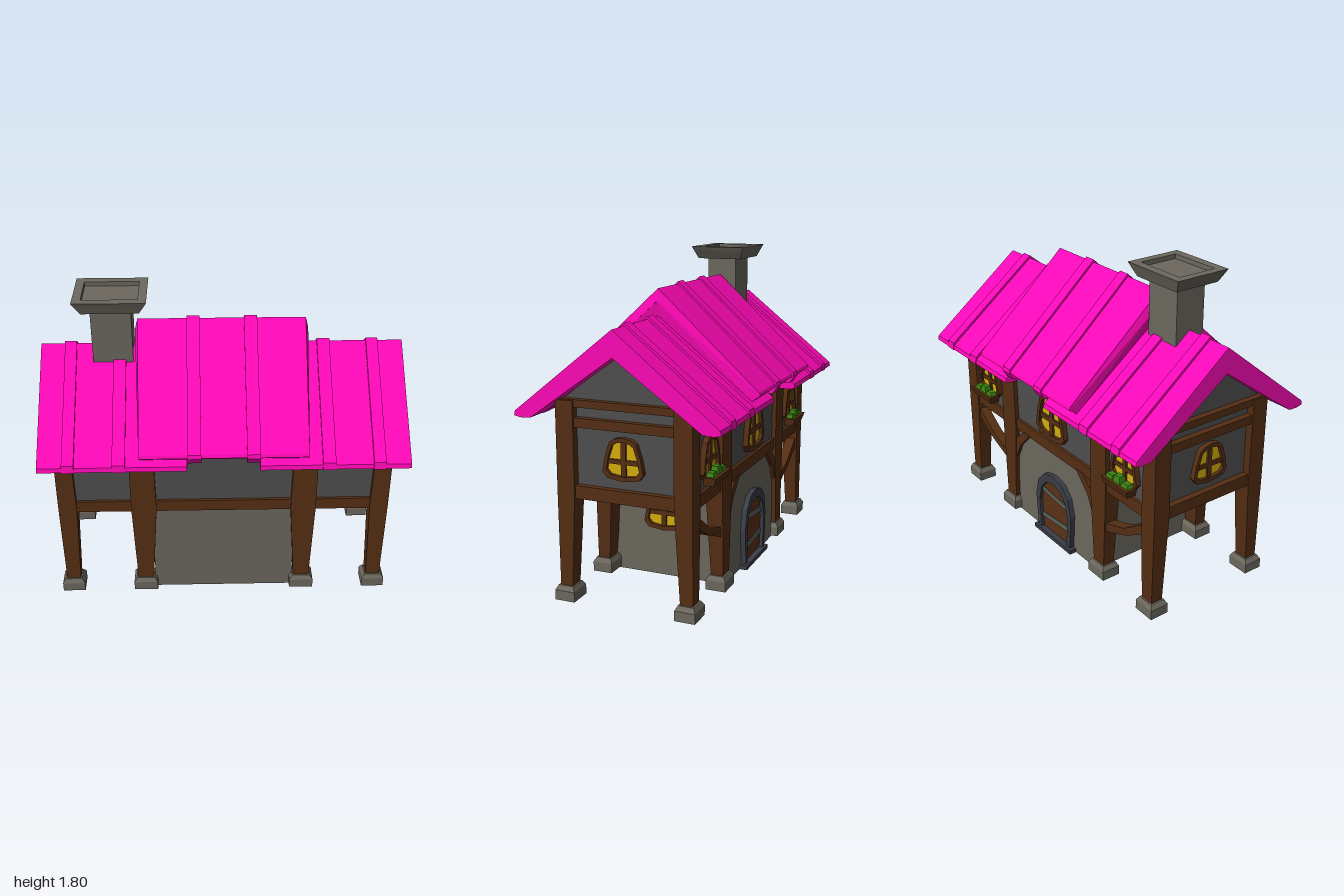
import * as THREE from 'three';

const mat = (color, side = THREE.FrontSide) => new THREE.MeshStandardMaterial({ color, flatShading: true, side });
const M = {
  wood: mat(0x552e13), wall: mat(0x4f4f4f), stone: mat(0x6c685e), hollowStone: mat(0x6c685e, THREE.DoubleSide),
  roof: mat(0xff08b6), glass: mat(0xd4ae0c), leaf: mat(0x3a8212), iron: mat(0x3b3d47), band: mat(0x5c655c), door: mat(0x5a3117),
};

function add(parent, name, geometry, material) {
  const mesh = new THREE.Mesh(geometry, material);
  mesh.name = name;
  parent.add(mesh);
  return mesh;
}

// Block between a bottom and a top rectangle, each [x0, x1, z0, z1]
function block(parent, name, material, y0, y1, bottom, top = bottom) {
  const g = new THREE.BoxGeometry(1, 1, 1);
  const p = g.attributes.position;
  for (let i = 0; i < p.count; i++) {
    const r = p.getY(i) < 0 ? bottom : top;
    const xs = [Math.min(r[0], r[1]), Math.max(r[0], r[1])];
    const zs = [Math.min(r[2], r[3]), Math.max(r[2], r[3])];
    p.setXYZ(i, xs[p.getX(i) < 0 ? 0 : 1], p.getY(i) < 0 ? y0 : y1, zs[p.getZ(i) < 0 ? 0 : 1]);
  }
  g.computeVertexNormals();
  return add(parent, name, g, material);
}

// Stone block with only its four walls
function hollowBlock(parent, name, y0, y1, bottom, top = bottom) {
  const g = block(parent, name, M.hollowStone, y0, y1, bottom, top).geometry;
  g.setIndex(Array.from(g.index.array).filter((_, i) => i < 12 || i >= 24));
  g.clearGroups();
}

const shapeOf = (pts) => new THREE.Shape(pts.map(([x, y]) => new THREE.Vector2(x, y)));
const extrude = (shape, depth) => new THREE.ExtrudeGeometry(shape, { depth, bevelEnabled: false });

// Extrudes a (z, y) section along x from x0 to x1
function alongX(pts, x0, x1) {
  return extrude(shapeOf(pts), x1 - x0).rotateY(-Math.PI / 2).translate(x1, 0, 0);
}

// Roof section: outer ridge, half outline of the eave, inner ridge
function chevron(ridge, eave, inner) {
  const left = eave.map(([z, y]) => [-z, y]);
  return [[0, ridge], ...left, [0, inner], ...[...eave].reverse()];
}

// Ring between an outline and the same outline scaled about (0, cy)
function ring(pts, sx, sy, cy) {
  const inner = pts.map(([x, y]) => [x * sx, cy + (y - cy) * sy]);
  const s = shapeOf(pts);
  s.holes.push(new THREE.Path(inner.map(([x, y]) => new THREE.Vector2(x, y))));
  return { ring: s, inner: shapeOf(inner) };
}

const mirror = (half) => [...half, ...[...half].reverse().filter(([x]) => x > 0).map(([x, y]) => [-x, y])];

// Arched four-pane window, facing +z, origin at its centre
function makeWindow(scale = 1) {
  const g = new THREE.Group();
  g.name = 'window';
  const outline = mirror([[0, -0.115], [0.09, -0.102], [0.115, -0.07], [0.1, 0.01], [0.075, 0.085], [0.05, 0.104], [0, 0.113]]);
  const s = ring(outline, 0.8, 0.8, 0);
  add(g, 'windowFrame', extrude(s.ring, 0.04), M.wood).position.z = -0.015;
  add(g, 'windowGlass', extrude(s.inner, 0.02), M.glass).position.z = -0.015;
  block(g, 'windowUpright', M.wood, -0.1, 0.1, [-0.014, 0.014, 0, 0.016]);
  block(g, 'windowCrossbar', M.wood, -0.028, -0.004, [-0.09, 0.09, 0, 0.016]);
  g.scale.set(scale, scale, 1);
  return g;
}

function makeDoor() {
  const g = new THREE.Group();
  g.name = 'door';
  const outline = mirror([[0, 0.01], [0.165, 0.01], [0.182, 0.24], [0.155, 0.35], [0.09, 0.415], [0, 0.435]]);
  const s = ring(outline, 0.8, 0.88, 0.01);
  add(g, 'doorFrame', extrude(s.ring, 0.05), M.iron).position.z = -0.02;
  add(g, 'doorLeaf', extrude(s.inner, 0.03), M.door).position.z = -0.02;
  [0.12, 0.28].forEach((y, i) => {
    const b = block(g, 'doorBand', M.band, -0.014, 0.014, [-0.138, 0.138, 0, 0.016]);
    b.position.y = y;
    b.rotation.z = i ? -0.1 : 0.08;
  });
  block(g, 'doorSill', M.iron, 0, 0.025, [-0.19, 0.19, -0.02, 0.045]);
  return g;
}

function makeFlowerBox() {
  const g = new THREE.Group();
  g.name = 'flowerBox';
  block(g, 'planter', M.wood, 0, 0.045, [-0.1, 0.1, 0, 0.055], [-0.11, 0.11, 0, 0.07]);
  for (let i = 0; i < 3; i++) {
    const x = (i - 1) * 0.064, h = 0.066 + (i % 2) * 0.018;
    block(g, 'leaves', M.leaf, 0.035, h, [x - 0.032, x + 0.032, 0.005, 0.055], [x - 0.022, x + 0.022, 0.012, 0.045]);
  }
  return g;
}

export function createModel() {
  const house = new THREE.Group();
  house.name = 'house';

  // Ground floor and the jettied upper storey with its gables
  hollowBlock(house, 'groundFloor', 0, 0.6, [-0.41, 0.41, -0.375, 0.335]);
  const gable = [[0.335, 0.6], [0.335, 1.1], [0, 1.36], [-0.375, 1.09], [-0.375, 0.6]];
  add(house, 'upperStorey', alongX(gable, -0.9, 0.9), M.wall);
  add(house, 'raisedWall', alongX([[0.335, 1], [0.335, 1.22], [0, 1.48], [-0.375, 1.19], [-0.375, 1]], -0.3, 0.3), M.wall);

  for (const side of [-1, 1]) {
    // Posts: [outer, inner top, inner bottom, outer bottom] in x
    for (const [xo, xi, xib, xob] of [[0.945, 0.84, 0.857, 0.938], [0.53, 0.385, 0.42, 0.51]]) {
      for (const [zo, zi, zib] of [[0.36, 0.26, 0.29], [-0.4, -0.3, -0.33]]) {
        const s = side, d = Math.sign(zo) * 0.022;
        block(house, 'postLower', M.wood, 0.07, 0.6, [s * xob, s * xib, zo, zib], [s * xo, s * xi, zo, zi]);
        block(house, 'postUpper', M.wood, 0.6, 1.1, [s * xo, s * xi, zo, zi], [s * xo, s * (xi + 0.01), zo, zi]);
        const foot = [s * (xob + 0.026), s * (xib - 0.024), zo + d, zib - d];
        const footTop = [s * (xob + 0.01), s * (xib - 0.008), zo + d * 0.4, zib - d * 0.4];
        hollowBlock(house, 'footBase', 0.01, 0.065, foot);
        hollowBlock(house, 'footTop', 0.065, 0.09, foot, footTop);
        block(house, 'footCover', M.stone, 0.084, 0.09, footTop);
      }
    }

    // Gable beams, ground floor beam and gable windows
    for (const [y0, y1] of [[0.58, 0.65], [0.96, 1.01], [1.065, 1.105]]) {
      block(house, 'gableBeam', M.wood, y0, y1, [side * 0.88, side * 0.935, -0.38, 0.34]);
    }
    block(house, 'jettyBeam', M.wood, 0.575, 0.61, [side * 0.4, side * 0.45, -0.36, 0.33]);
    for (const [x, y] of [[0.905, 0.815], [0.415, 0.39]]) {
      const w = makeWindow();
      w.position.set(side * x, y, -0.012);
      w.rotation.y = side * Math.PI / 2;
      house.add(w);
    }

    // Curved braces between the back posts and beside the door
    const m = (pts) => shapeOf(pts.map(([x, y]) => [side * x, y]));
    const brace = m([[0.85, 0.54], [0.68, 0.425], [0.51, 0.37], [0.51, 0.315], [0.69, 0.385], [0.85, 0.475]]);
    add(house, 'sideBrace', extrude(brace, 0.06).translate(0, 0, -0.39), M.wood);
    const knee = m([[0.41, 0.36], [0.35, 0.48], [0.24, 0.59], [0.31, 0.59], [0.41, 0.5]]);
    add(house, 'doorBrace', extrude(knee, 0.035).translate(0, 0, -0.395), M.wood);

    // Back side windows with planters
    const w = makeWindow();
    w.position.set(side * 0.685, 0.815, -0.38);
    w.rotation.y = Math.PI;
    const f = makeFlowerBox();
    f.position.set(side * 0.685, 0.685, -0.395);
    f.rotation.y = Math.PI;
    house.add(w, f);
  }

  // Long beams on the front and back
  for (const [y0, y1] of [[0.58, 0.65], [0.96, 1.01], [1.06, 1.1]]) {
    block(house, 'frontBeam', M.wood, y0, y1, [-0.9, 0.9, 0.32, 0.352]);
    block(house, 'backBeam', M.wood, y0, y1, [-0.9, 0.9, -0.392, -0.36]);
  }

  // Back centre window and door
  const back = makeWindow(1.25);
  back.position.set(0, 0.815, -0.38);
  const door = makeDoor();
  door.position.set(-0.015, 0, -0.375);
  for (const o of [back, door]) {
    o.rotation.y = Math.PI;
    house.add(o);
  }

  // Low roof halves and their raised bands
  const low = chevron(1.485, [[0.565, 1.035], [0.57, 1.01], [0.53, 1.002], [0.475, 1.005]], 1.345);
  const lowBand = chevron(1.5, [[0.568, 1.05], [0.574, 1.008], [0.53, 0.999], [0.48, 1.0]], 1.34);
  add(house, 'lowRoof', alongX(low, -1, -0.2), M.roof);
  add(house, 'lowRoof', alongX(low, 0.19, 1), M.roof);
  for (const [x, w] of [[-0.835, 0.065], [-0.565, 0.07], [0.56, 0.07], [0.83, 0.065]]) {
    add(house, 'lowRoofBand', alongX(lowBand, x - w / 2, x + w / 2), M.roof);
  }

  // Raised middle roof: top layer flaring towards its underside, and an undercut layer below it
  const flare = (pts, rule) => {
    const g = alongX(pts, -0.455, 0.45);
    const p = g.attributes.position;
    for (let i = 0; i < p.count; i++) {
      if (Math.abs(p.getZ(i)) < 0.1) p.setX(i, p.getX(i) * rule(p.getY(i)));
    }
    g.computeVertexNormals();
    return g;
  };
  const top = chevron(1.632, [[0.57, 1.112], [0.576, 1.095], [0.555, 1.08]], 1.565);
  const under = chevron(1.57, [[0.558, 1.085], [0.53, 1.06], [0.48, 1.05]], 1.45);
  add(house, 'raisedRoof', flare(top, (y) => (y > 1.6 ? 1.02 : 1.055)), M.roof);
  add(house, 'raisedRoofUnderside', flare(under, (y) => (y > 1.5 ? 1.05 : 1)), M.roof);
  const highBand = chevron(1.646, [[0.58, 1.118], [0.585, 1.095], [0.56, 1.055], [0.52, 1.055]], 1.55);
  for (const x of [-0.16, 0.155]) add(house, 'raisedRoofBand', alongX(highBand, x - 0.036, x + 0.036), M.roof);

  // Chimney with a flared cap, rim and sunken top
  const chimney = new THREE.Group();
  chimney.name = 'chimney';
  const rect = (x, z) => [-x, x, -z, z];
  block(chimney, 'chimneyStack', M.stone, 1.3, 1.74, rect(0.11, 0.09));
  block(chimney, 'chimneyCap', M.stone, 1.727, 1.775, rect(0.155, 0.135), rect(0.184, 0.154));
  for (const s of [-1, 1]) {
    block(chimney, 'chimneyRim', M.stone, 1.775, 1.8, [s * 0.15, s * 0.184, -0.154, 0.154], [s * 0.15, s * 0.197, -0.165, 0.165]);
    block(chimney, 'chimneyRim', M.stone, 1.775, 1.8, [-0.184, 0.184, s * 0.115, s * 0.154], [-0.197, 0.197, s * 0.115, s * 0.165]);
  }
  chimney.position.x = -0.6;
  house.add(chimney);

  return house;
}
